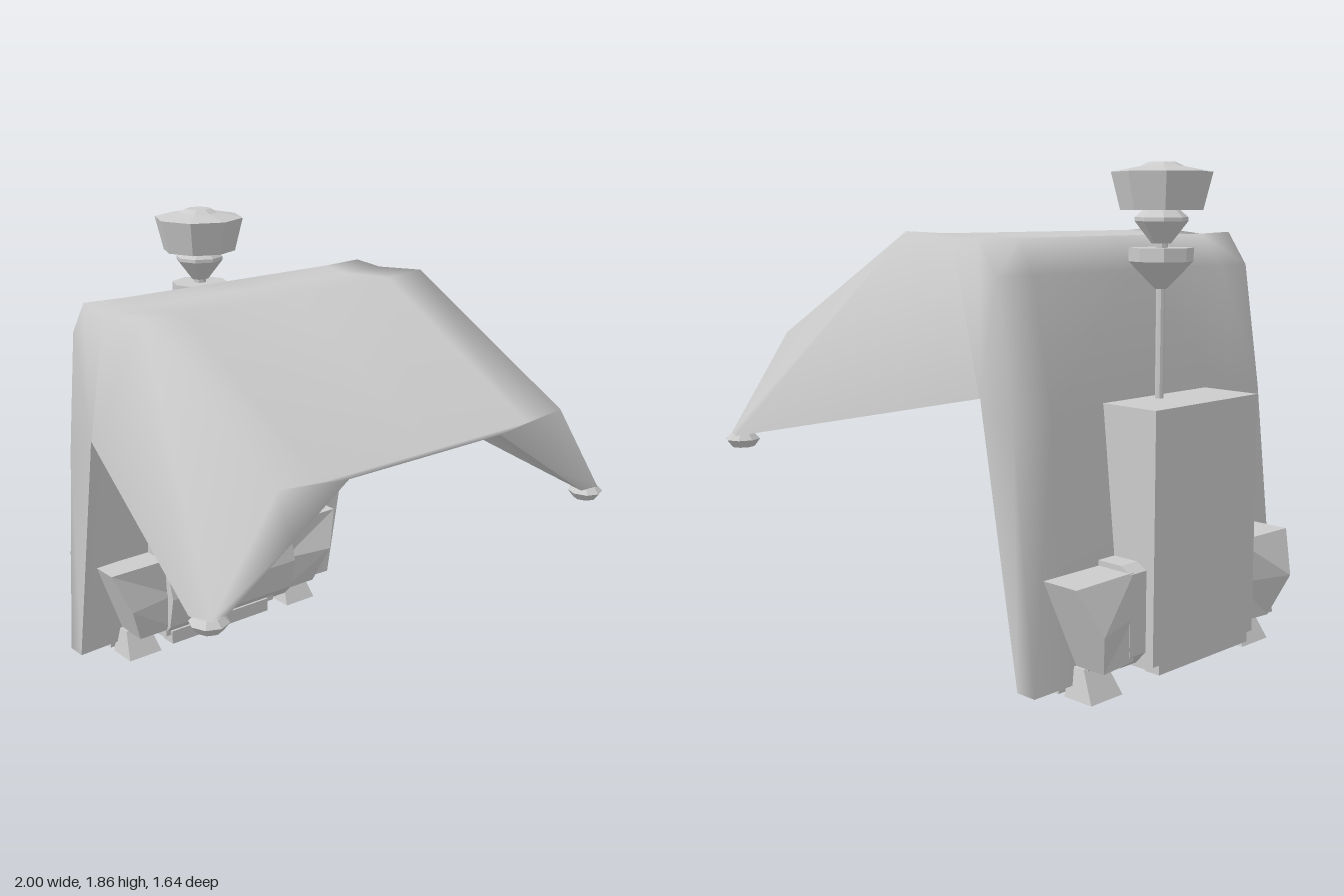
import * as THREE from 'three';

const flat = new THREE.MeshStandardMaterial({ color: 0xcccccc, flatShading: true });
const smooth = new THREE.MeshStandardMaterial({ color: 0xcccccc, side: THREE.DoubleSide });
const AXIS_Z = -0.59; // depth of the mast and the machine's middle

export function createModel() {
  const model = new THREE.Group();

  const add = (name, geometry, material = flat) => {
    const mesh = new THREE.Mesh(geometry, material);
    mesh.name = name;
    model.add(mesh);
    return mesh;
  };

  // Box given by its limits on each axis
  const box = (name, x0, x1, y0, y1, z0, z1) =>
    add(name, new THREE.BoxGeometry(x1 - x0, y1 - y0, z1 - z0))
      .position.set((x0 + x1) / 2, (y0 + y1) / 2, (z0 + z1) / 2);

  // Prism along x from a [z, y] outline
  const prismX = (outline, x0, x1) => {
    const shape = new THREE.Shape(outline.map(([z, y]) => new THREE.Vector2(-z, y)));
    return new THREE.ExtrudeGeometry(shape, { depth: x1 - x0, bevelEnabled: false })
      .rotateY(Math.PI / 2).translate(x0, 0, 0);
  };

  // Smooth sheet through mirrored half cross-sections, each running from x = 0 outwards
  const sheet = (name, rows) => {
    const positions = [], index = [], n = rows[0].length * 2 - 1;
    rows.forEach((half) => {
      const mirrored = half.slice(1).reverse().map(([x, y, z]) => [-x, y, z]);
      positions.push(...[...mirrored, ...half].flat());
    });
    for (let r = 0; r < rows.length - 1; r++) {
      for (let c = 0; c < n - 1; c++) {
        const a = r * n + c, b = a + 1, d = a + n, e = d + 1;
        // Mirrored diagonals; the front wing panels fold from ridge corner to tip
        const wingFront = r === 1 && (c === 0 || c === n - 2);
        if ((c < n / 2 - 1) !== wingFront) index.push(a, b, d, b, e, d);
        else index.push(a, b, e, a, e, d);
      }
    }
    const geometry = new THREE.BufferGeometry();
    geometry.setAttribute('position', new THREE.Float32BufferAttribute(positions, 3));
    geometry.setIndex(index);
    geometry.computeVertexNormals();
    add(name, geometry, smooth);
  };

  // Canopy skin from the front lip over the ridge, down the back and under the hem
  sheet('canopy', [
    [[0, 1.16, 0.785], [0.37, 1.16, 0.785], [0.62, 0.99, 0.785], [0.87, 0.82, 0.785]],
    [[0, 1.185, 0.8], [0.5, 1.185, 0.8], [0.685, 1.2, 0.8], [0.955, 0.82, 0.8]],
    [[0, 1.605, 0.02], [0.5, 1.605, 0.02], [0.685, 1.615, 0.02], [0.985, 0.82, 0.72]],
    [[0, 1.585, -0.23], [0.5, 1.585, -0.23], [0.685, 1.59, -0.23], [0.685, 1.05, -0.365]],
    [[0, 1.595, -0.37], [0.5, 1.595, -0.37], [0.685, 1.6, -0.37], [0.685, 1.05, -0.367]],
    [[0, 1.47, -0.46], [0.52, 1.47, -0.46], [0.685, 1.47, -0.46], [0.685, 1.05, -0.37]],
    [[0, 0.98, -0.535], [0.5, 0.98, -0.535], [0.685, 0.98, -0.535], [0.685, 1.0, -0.378]],
    [[0, 0.045, -0.635], [0.5, 0.045, -0.635], [0.685, 0.045, -0.635], [0.685, 0.045, -0.55]],
    [[0, 0.045, -0.56], [0.5, 0.045, -0.56], [0.6, 0.045, -0.555], [0.685, 0.045, -0.55]],
  ]);

  // Inner lining, chamfered towards the wing and back panel edges
  sheet('canopyLining', [
    [[0, 1.16, 0.785], [0.37, 1.16, 0.785], [0.87, 0.82, 0.785]],
    [[0, 1.56, 0.02], [0.46, 1.56, 0.02], [0.78, 0.975, 0.02]],
    [[0, 1.55, -0.35], [0.5, 1.55, -0.35], [0.685, 1.05, -0.365]],
    [[0, 1.45, -0.43], [0.52, 1.45, -0.43], [0.685, 1.05, -0.37]],
    [[0, 0.98, -0.49], [0.5, 0.98, -0.49], [0.685, 1.0, -0.378]],
    [[0, 0.045, -0.56], [0.5, 0.045, -0.56], [0.685, 0.045, -0.55]],
  ]);

  // Mast and its stacked caps, all eight-sided
  const lathe = (name, points) => {
    const g = new THREE.LatheGeometry(points.map(([r, y]) => new THREE.Vector2(r, y)), 8);
    add(name, g).position.z = AXIS_Z;
  };
  lathe('mast', [[0.016, 0.98], [0.016, 1.42]]);
  lathe('lowerCap', [[0, 1.407], [0.022, 1.407], [0.118, 1.506], [0.118, 1.555], [0.025, 1.555], [0.025, 1.575]]);
  lathe('middleCap', [[0, 1.57], [0.035, 1.57], [0.097, 1.65], [0.097, 1.664], [0.065, 1.692]]);
  lathe('topBowl', [[0, 1.69], [0.15, 1.69], [0.184, 1.825], [0.08, 1.845], [0.05, 1.86], [0, 1.86]]);

  // Tall cabinet with door and vertical vent
  box('cabinet', -0.345, 0.24, 0.08, 1.005, -0.78, -0.41);
  box('cabinetDoor', -0.33, 0.11, 0.4, 0.98, -0.42, -0.395);
  box('cabinetVent', 0.145, 0.22, 0.4, 0.77, -0.42, -0.388);

  // Drum across the bottom of the cabinet
  add('drum', prismX([
    [-0.41, 0.455], [-0.39, 0.4], [-0.355, 0.27], [-0.385, 0.13], [-0.43, 0.08],
    [-0.7, 0.08], [-0.745, 0.13], [-0.745, 0.43], [-0.7, 0.455],
  ], -0.34, 0.325));
  box('drumHatch', -0.2, 0.125, 0.25, 0.365, -0.39, -0.36);

  // Base frame: two cross rails joined by two beams
  box('frontRail', -0.32, 0.2, 0.04, 0.1, -0.47, -0.4);
  box('backRail', -0.32, 0.2, 0.04, 0.1, -0.775, -0.71);
  for (const x of [-0.25, 0.13]) box('baseBeam', x - 0.07, x + 0.07, 0.045, 0.1, -0.72, -0.46);

  for (const side of [-1, 1]) {
    // Flared hexagonal end pods with raked outer faces
    const pod = prismX([
      [-0.41, 0.435], [-0.36, 0.27], [-0.41, 0.11], [-0.76, 0.11], [-0.82, 0.27], [-0.75, 0.435],
    ], 0, 1);
    const p = pod.attributes.position;
    for (let i = 0; i < p.count; i++) {
      const outer = p.getX(i) > 0.5, y = p.getY(i);
      p.setX(i, side * (outer ? 0.475 + (y - 0.11) * 0.39 : 0.3));
      if (!outer) p.setZ(i, THREE.MathUtils.clamp(p.getZ(i), -0.74, -0.4));
    }
    // Mirroring turns the faces inside out, so swap two corners of each
    if (side < 0) {
      for (let i = 0; i < p.count; i += 3) {
        const a = new THREE.Vector3().fromBufferAttribute(p, i + 1);
        const b = new THREE.Vector3().fromBufferAttribute(p, i + 2);
        p.setXYZ(i + 1, b.x, b.y, b.z);
        p.setXYZ(i + 2, a.x, a.y, a.z);
      }
    }
    pod.computeVertexNormals();
    add('endPod', pod);
    box('footMount', side * 0.43 - 0.04, side * 0.43 + 0.04, 0.09, 0.12, -0.68, -0.5);

    // Two splayed feet under each pod
    for (const end of [-1, 1]) {
      const foot = new THREE.BoxGeometry(0.16, 0.11, 0.13);
      const f = foot.attributes.position;
      for (let i = 0; i < f.count; i++) {
        if (f.getY(i) < 0) continue;
        f.setX(i, f.getX(i) * 0.7);
        if (f.getZ(i) * end > 0) f.setZ(i, end * 0.005);
      }
      foot.computeVertexNormals();
      add('foot', foot).position.set(side * 0.43, 0.055, AXIS_Z + end * 0.08);
    }

    // Faceted knob tucked under the canopy's front tip
    const knob = new THREE.LatheGeometry([
      [0, -0.03], [0.045, -0.03], [0.068, 0], [0.045, 0.022], [0, 0.022],
    ].map(([r, y]) => new THREE.Vector2(r, y)), 8);
    add('tipKnob', knob).position.set(side * 0.932, 0.8, 0.757);
  }
  return model;
}
